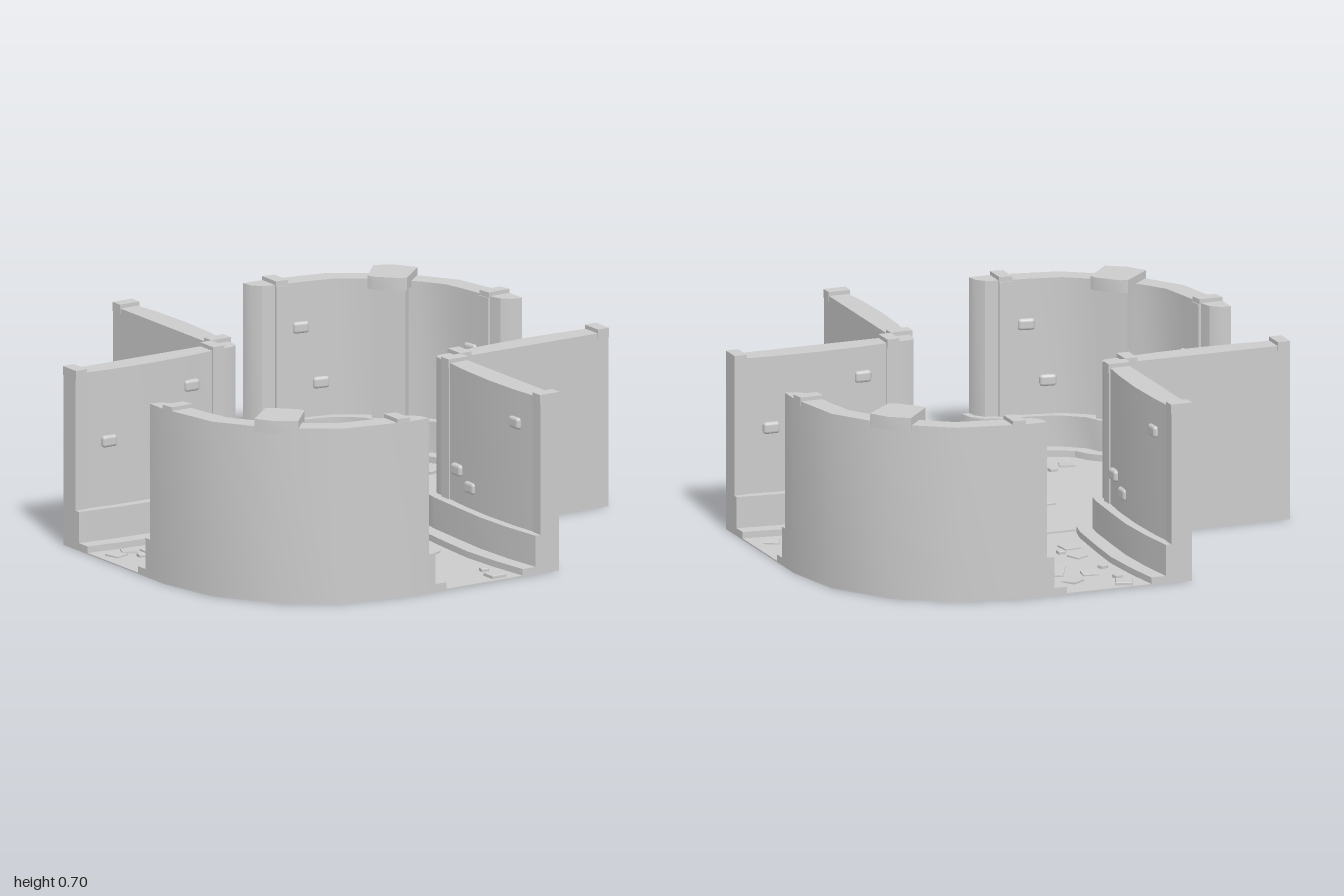
import * as THREE from 'three';
import { toCreasedNormals } from 'three/addons/utils/BufferGeometryUtils.js';
import { RoundedBoxGeometry } from 'three/addons/geometries/RoundedBoxGeometry.js';

const material = new THREE.MeshStandardMaterial({ color: 0xcccccc });

function add(parent, name, geometry, x = 0, y = 0, z = 0, turn = 0) {
  const mesh = new THREE.Mesh(geometry, material);
  mesh.name = name;
  mesh.position.set(x, y, z);
  mesh.rotation.y = turn;
  parent.add(mesh);
  return mesh;
}

// Upright prism over a plan outline of [x, z] points
function prism(points, y0, y1) {
  const shape = new THREE.Shape(points.map(([x, z]) => new THREE.Vector2(x, -z)));
  const g = new THREE.ExtrudeGeometry(shape, { depth: y1 - y0, bevelEnabled: false });
  g.rotateX(-Math.PI / 2);
  g.translate(0, y0, 0);
  return toCreasedNormals(g, 0.55);
}

const rect = (x0, z0, x1, z1) => [[x0, z0], [x0, z1], [x1, z1], [x1, z0]];
const swap = ([x, z]) => [z, x];
const swapNegative = ([x, z]) => [-z, -x];
// Completes a half profile by mirroring it over a diagonal
const mirrored = (half, flip) => [...half, ...half.map(flip).reverse()];

// Quarter arc of the rounded outer wall, four flat segments
function arc(radius) {
  const points = [];
  for (let i = 0; i <= 4; i++) {
    const a = (i / 4) * Math.PI / 2;
    points.push([0.34 + radius * Math.sin(a), -0.34 - radius * Math.cos(a)]);
  }
  return points;
}

// Wall around the inward corner: wall, plinth and kerb
function innerCorner() {
  const group = new THREE.Group();
  group.name = 'innerCornerWall';
  const layers = [
    ['wall', 0.675, 0.333, [[-1, -0.26], [-0.84, -0.244], [-0.67, -0.238], [-0.5, -0.244], [-0.335, -0.26], [-0.29, -0.262], [-0.27, -0.27]]],
    ['plinth', 0.15, 0.325, [[-1, -0.228], [-0.84, -0.21], [-0.67, -0.202], [-0.5, -0.21], [-0.33, -0.22], [-0.27, -0.23], [-0.243, -0.247]]],
    ['kerb', 0.03, 0.32, [[-1, -0.17], [-0.84, -0.15], [-0.67, -0.14], [-0.5, -0.15], [-0.3, -0.167], [-0.23, -0.183], [-0.196, -0.205]]],
  ];
  for (const [name, height, back, half] of layers) {
    const outer = [[-back, -1], [-back, -back], [-1, -back]];
    add(group, name, prism([...mirrored(half, swap), ...outer], 0.002, height));
  }
  // Pilasters with raised heads at both ends of each wall
  for (const x of [-1, -0.385]) {
    const plan = rect(x, -0.335, x + 0.05, -0.248);
    add(group, 'pilaster', prism(plan, 0.655, 0.69));
    add(group, 'pilaster', prism(plan.map(swap), 0.655, 0.69));
    const shaft = rect(x, -0.31, x + 0.05, -0.25);
    add(group, 'pilasterShaft', prism(shaft, 0.1, 0.67));
    add(group, 'pilasterShaft', prism(shaft.map(swap), 0.1, 0.67));
  }
  // Proud bricks
  const brick = new RoundedBoxGeometry(0.065, 0.045, 0.03, 2, 0.012);
  for (const [x, y] of [[-0.854, 0.4], [-0.52, 0.32], [-0.485, 0.56]])
    add(group, 'brick', brick, x, y, -0.246);
  for (const [z, y] of [[-0.84, 0.55], [-0.45, 0.28], [-0.54, 0.23]])
    add(group, 'brick', brick, -0.246, y, z, Math.PI / 2);
  return group;
}

// Rounded outer wall with a central pillar
function roundedCorner() {
  const group = new THREE.Group();
  group.name = 'roundedWall';
  const layers = [
    ['wall', 0.675, 0.66, [[0.25, -1], [0.257, -0.96], [0.285, -0.927], [0.335, -0.913], [0.45, -0.895], [0.57, -0.87], [0.66, -0.81]]],
    ['plinth', 0.15, 0.65, [[0.22, -1], [0.235, -0.94], [0.275, -0.9], [0.34, -0.882], [0.46, -0.865], [0.55, -0.842], [0.635, -0.775], [0.66, -0.72]]],
    ['kerb', 0.03, 0.64, [[0.17, -1], [0.185, -0.92], [0.22, -0.87], [0.28, -0.837], [0.4, -0.822], [0.5, -0.8], [0.58, -0.76], [0.61, -0.705]]],
  ];
  for (const [name, height, radius, half] of layers) {
    const outer = [[1, -0.34], ...arc(radius).reverse(), [0.34, -1]];
    add(group, name, prism([...mirrored(half, swapNegative), ...outer], 0.002, height));
  }
  // Pillar and its wider cap
  const shaft = [[0.66, -0.75], [0.73, -0.83], [0.79, -0.79]];
  const cap = [[0.635, -0.742], [0.74, -0.858], [0.812, -0.812]];
  const front = (p) => [...mirrored(p, swapNegative), [0.715, -0.645], [0.645, -0.715]];
  add(group, 'pillar', prism(mirrored(shaft, swapNegative), 0.02, 0.66));
  add(group, 'pillarCap', prism(front(cap.map(([x, z]) => [x, z])), 0.655, 0.705));
  // End pilasters
  const head = [[0.335, -1], [0.335, -0.908], [0.385, -0.9], [0.385, -0.992]];
  const post = [[0.335, -0.96], [0.335, -0.904], [0.385, -0.896], [0.385, -0.95]];
  for (const flip of [(p) => p, swapNegative]) {
    add(group, 'pilaster', prism(head.map(flip), 0.655, 0.69));
    add(group, 'pilasterShaft', prism(post.map(flip), 0.1, 0.67));
  }
  // Proud bricks
  const brick = new RoundedBoxGeometry(0.065, 0.045, 0.03, 2, 0.012);
  for (const [x, y, z] of [[0.44, 0.5, -0.9], [0.52, 0.28, -0.884]]) {
    add(group, 'brick', brick, x, y, z, -0.18);
    add(group, 'brick', brick, -z, y - 0.05, -x, Math.PI / 2 + 0.18);
  }
  return group;
}

export function createModel() {
  const model = new THREE.Group();
  model.name = 'courtyardJunction';

  // Floor slab
  const half = [[-0.333, -0.333], [-0.333, -1], [0.34, -1], ...arc(0.66).slice(1, 4), [1, -0.34], [1, 0.333]];
  add(model, 'floor', prism([...half, ...half.map(([x, z]) => [-x, -z])], 0, 0.005));

  for (const turn of [0, Math.PI]) {
    for (const part of [innerCorner(), roundedCorner()]) {
      part.rotation.y = turn;
      model.add(part);
    }
  }

  // Loose stones: x, z, size; most occur in opposite pairs
  const paired = [[-0.08, -0.95, 0.065], [-0.087, -0.865, 0.03], [-0.02, -0.475, 0.03], [0.43, -0.615, 0.03],
    [0.71, -0.437, 0.065], [0.77, -0.365, 0.032], [0.385, 0.075, 0.065], [0.47, 0.082, 0.03], [0.86, 0.015, 0.032]];
  const single = [[-0.087, -0.72, 0.03], [0.05, -0.085, 0.03], [-0.72, 0.08, 0.03]];
  const stones = [...paired, ...paired.map(([x, z, s]) => [-x, -z, s]), ...single];
  stones.forEach(([x, z, s], i) => {
    add(model, 'stone', new RoundedBoxGeometry(s, 0.018, s, 1, 0.004), x, 0.009, z, ((i * 5) % 7 - 3) * 0.12);
  });

  // Low worn paving slabs, slightly tilted
  const slabs = [[0.13, -0.69, 0.14], [-0.11, -0.1, 0.21], [-0.56, 0.1, 0.21], [0.01, 0.13, 0.14], [-0.68, -0.1, 0.12],
    [0.09, -0.86, 0.06], [-0.01, -0.78, 0.06], [0.39, -0.74, 0.065], [0.5, -0.67, 0.06], [0.11, -0.53, 0.06],
    [-0.06, -0.54, 0.055], [0.2, -0.43, 0.06], [-0.08, -0.41, 0.065], [0.17, -0.17, 0.06], [-0.53, -0.11, 0.06],
    [-0.93, -0.08, 0.06], [-0.86, -0.1, 0.06], [-0.79, -0.06, 0.06], [-0.84, 0.17, 0.06], [-0.14, 0.1, 0.06],
    [-0.23, 0.2, 0.06], [0.19, 0.09, 0.06], [0.11, -0.01, 0.06], [0.83, 0.03, 0.06], [0.92, 0.08, 0.06],
    [0.08, 0.4, 0.07], [0.06, 0.54, 0.06], [-0.51, 0.67, 0.06], [-0.39, 0.74, 0.065]];
  slabs.forEach(([x, z, s], i) => {
    const g = new THREE.BoxGeometry(s, 0.008, s);
    g.rotateX((i % 2 ? 1 : -1) * 0.003 / s);
    add(model, 'pavingSlab', g, x, 0.007, z, ((i * 3) % 8 - 3) * 0.15);
  });

  return model;
}
